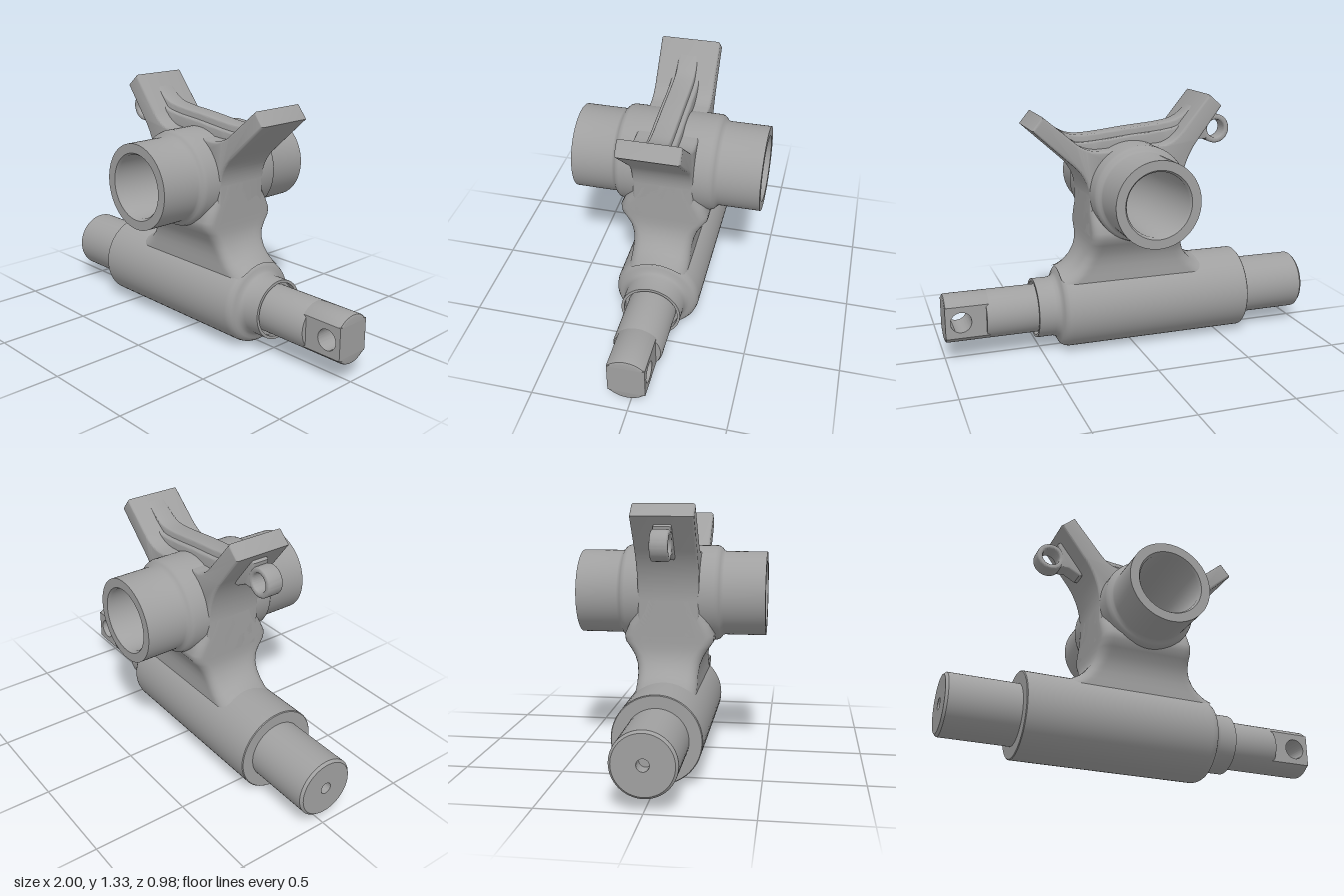
import * as THREE from 'three';
import { toCreasedNormals } from 'three/addons/utils/BufferGeometryUtils.js';

const AXIS_Y = 0.223; // height of the lower barrel axis
const BORE_Y = 0.855; // height of the cross tube axis
const BARREL_R = 0.222;

export function createModel() {
  const group = new THREE.Group();
  group.name = 'steeringKnuckle';
  const steel = new THREE.MeshStandardMaterial({ color: 0xa0a0a0 });
  steel.name = 'castSteel';

  const add = (name, geo, crease = 0.6) => {
    const mesh = new THREE.Mesh(toCreasedNormals(geo, crease), steel);
    mesh.name = name;
    group.add(mesh);
    return mesh;
  };
  const lathe = (pts, seg = 64) =>
    new THREE.LatheGeometry(pts.map(([r, a]) => new THREE.Vector2(r, a)), seg);
  const poly = (pts) => new THREE.Shape(pts.map(([x, y]) => new THREE.Vector2(x, y)));
  const circleHole = (x, y, r) => new THREE.Path().absarc(x, y, r, 0, Math.PI * 2, true);
  // Extrusion centred on z = 0 whose bevel stays inside the outline
  const slab = (shape, half, bevel) => {
    const geo = new THREE.ExtrudeGeometry(shape, {
      depth: 2 * (half - bevel), curveSegments: 32, bevelEnabled: bevel > 0,
      bevelSize: bevel, bevelThickness: bevel, bevelOffset: -bevel, bevelSegments: 3,
    });
    return geo.translate(0, 0, -(half - bevel));
  };

  // Lower barrel with plain journal, rounded shoulder and recessed collar
  const barrel = lathe([
    [0, -0.93], [0.03, -0.93], [0.03, -1], [0.145, -1], [0.157, -0.987],
    [0.157, -0.63], [0.218, -0.63], [BARREL_R, -0.626], [BARREL_R, 0.355],
    [0.218, 0.375], [0.208, 0.391], [0.192, 0.4], [0.178, 0.404], [0.165, 0.415],
    [0.157, 0.435], [0.157, 0.525], [0.142, 0.525], [0.142, 0.495], [0, 0.495],
  ]);
  add('barrel', barrel.rotateZ(-Math.PI / 2).translate(0, AXIS_Y, 0));

  // Round part of the spindle
  const spindle = lathe([[0.127, 0.49], [0.127, 0.775], [0.12, 0.79], [0, 0.79]]);
  add('spindle', spindle.rotateZ(-Math.PI / 2).translate(0, AXIS_Y, 0));

  // Flattened spindle tip with cross hole: drilled core plus two round caps
  const flat = 0.095, chord = Math.sqrt(0.127 ** 2 - flat ** 2);
  const tip = poly([[0.775, -chord], [1, -chord], [1, chord], [0.775, chord]]);
  tip.holes.push(circleHole(0.92, 0, 0.054));
  add('spindleTip', slab(tip, flat, 0).translate(0, AXIS_Y, 0));
  const half = Math.atan2(flat, chord);
  for (const side of [1, -1]) {
    const mid = side * Math.PI / 2;
    const cap = new THREE.Shape().absarc(0, 0, 0.127, mid - half, mid + half, false);
    const geo = new THREE.ExtrudeGeometry(cap, {
      depth: 0.213, curveSegments: 20, bevelEnabled: true,
      bevelSize: 0.012, bevelThickness: 0.012, bevelOffset: -0.012, bevelSegments: 2,
    });
    geo.translate(0, 0, 0.775).rotateY(Math.PI / 2);
    add('spindleTipCap', geo.translate(0, AXIS_Y, 0));
  }

  // Cross tube with thicker middle boss and chamfered bore
  const outer = [[0.22, 0.49], [0.22, 0.275], [0.224, 0.264], [0.235, 0.256], [0.245, 0.245], [0.25, 0.23]];
  const tube = lathe([
    [0.162, 0], [0.162, -0.475], [0.172, -0.49],
    ...outer.map(([r, z]) => [r, -z]), ...outer.slice().reverse(),
    [0.172, 0.49], [0.162, 0.475], [0.162, 0],
  ], 72);
  add('crossTube', tube.rotateX(Math.PI / 2).translate(0, BORE_Y, 0));

  // Neck lofted from the barrel up to the boss
  add('neck', neckGeometry(), 0.9);

  // Yoke plate carrying both arms, open around the bore
  const yoke = new THREE.Shape();
  yoke.moveTo(-0.25, 0.63);
  yoke.lineTo(0.25, 0.63);
  yoke.lineTo(0.25, 0.84);
  yoke.bezierCurveTo(0.252, 0.9, 0.28, 0.955, 0.33, 1.0);
  yoke.lineTo(0.54, 1.19);
  yoke.lineTo(0.485, 1.257);
  yoke.lineTo(0.31, 1.11);
  yoke.quadraticCurveTo(0.25, 1.065, 0.17, 1.07);
  yoke.lineTo(-0.14, 1.085);
  yoke.quadraticCurveTo(-0.2, 1.09, -0.25, 1.15);
  yoke.lineTo(-0.402, 1.335);
  yoke.lineTo(-0.472, 1.275);
  yoke.lineTo(-0.34, 1.1);
  yoke.bezierCurveTo(-0.28, 1.02, -0.252, 0.93, -0.25, 0.84);
  yoke.holes.push(circleHole(0, BORE_Y, 0.2));
  add('yokeArms', slab(yoke, 0.157, 0.012));

  // Saddle rib joining the arms, with a lower and wider foot
  const rib = (name, depth, drop) => {
    const top = new THREE.SplineCurve([
      [0.46, 1.235], [0.37, 1.172], [0.3, 1.146], [0.2, 1.146], [0, 1.168],
      [-0.18, 1.185], [-0.28, 1.212], [-0.37, 1.29],
    ].map(([x, y]) => new THREE.Vector2(x, y - drop)));
    const shape = new THREE.Shape([
      new THREE.Vector2(-0.2, 1.03), new THREE.Vector2(0.2, 1.03), ...top.getPoints(30),
    ]);
    shape.holes.push(circleHole(0, BORE_Y - 0.01, 0.0001));
    shape.holes.length = 0;
    add(name, slab(shape, depth, 0.01));
  };
  rib('saddleRib', 0.052, 0);
  rib('saddleRibFoot', 0.075, 0.035);

  // Eye lug behind the taller arm
  const eye = new THREE.Shape().absarc(-0.49, 1.138, 0.077, 0, Math.PI * 2, false);
  eye.holes.push(circleHole(-0.49, 1.138, 0.048));
  add('eyeLug', slab(eye, 0.045, 0.01));
  const web = poly([
    [-0.437, 1.085], [-0.39, 1.088], [-0.33, 1.055], [-0.29, 1.06], [-0.34, 1.18],
    [-0.42, 1.25], [-0.455, 1.225], [-0.45, 1.195], [-0.432, 1.16],
  ]);
  add('eyeLugWeb', slab(web, 0.045, 0.008));

  return group;
}

// Rounded sections stacked upward; the foot drapes over the barrel
// and the top edge follows the underside of the cross tube.
function neckGeometry() {
  // height, half width, half depth, drape over the barrel
  const rows = [
    [0.438, 0.4, 0.155, 1], [0.447, 0.365, 0.155, 0.85], [0.463, 0.328, 0.155, 0.6],
    [0.487, 0.297, 0.155, 0.35], [0.52, 0.272, 0.162, 0.15], [0.555, 0.257, 0.178, 0.05],
    [0.59, 0.251, 0.203, 0], [0.625, 0.25, 0.228, 0], [0.66, 0.25, 0.232, 0],
    [0.72, 0.25, 0.205, 0], [0.78, 0.25, 0.17, 0], [0.84, 0.25, 0.15, 0],
  ];
  const N = 28, S = 8, c = 0.05, positions = [], index = [];
  let count = 0;
  rows.forEach(([y, w, d, drape]) => {
    const loop = [];
    for (let i = 0; i <= N; i++) {
      const x = w * Math.sin((i / N - 0.5) * Math.PI);
      const k = Math.min(1, Math.max(0, (Math.abs(x) - (w - c)) / c));
      loop.push([x, d - c * (1 - Math.sqrt(1 - k * k))]);
    }
    for (let i = 1; i < S; i++) loop.push([w, (d - c) * (1 - 2 * i / S)]);
    const ring = [...loop, ...loop.map(([x, z]) => [-x, -z])];
    count = ring.length;
    for (const [x, z] of ring) {
      let h = y - drape * (BARREL_R - Math.sqrt(Math.max(0, BARREL_R ** 2 - z * z)));
      if (Math.abs(x) < 0.19) h = Math.min(h, BORE_Y - Math.sqrt(0.19 ** 2 - x * x));
      positions.push(x, h, z);
    }
  });
  for (let r = 0; r < rows.length - 1; r++) {
    for (let j = 0; j < count; j++) {
      const a = r * count + j, b = r * count + (j + 1) % count;
      index.push(a, b, b + count, a, b + count, a + count);
    }
  }
  const geo = new THREE.BufferGeometry();
  geo.setAttribute('position', new THREE.Float32BufferAttribute(positions, 3));
  geo.setIndex(index);
  return geo;
}
